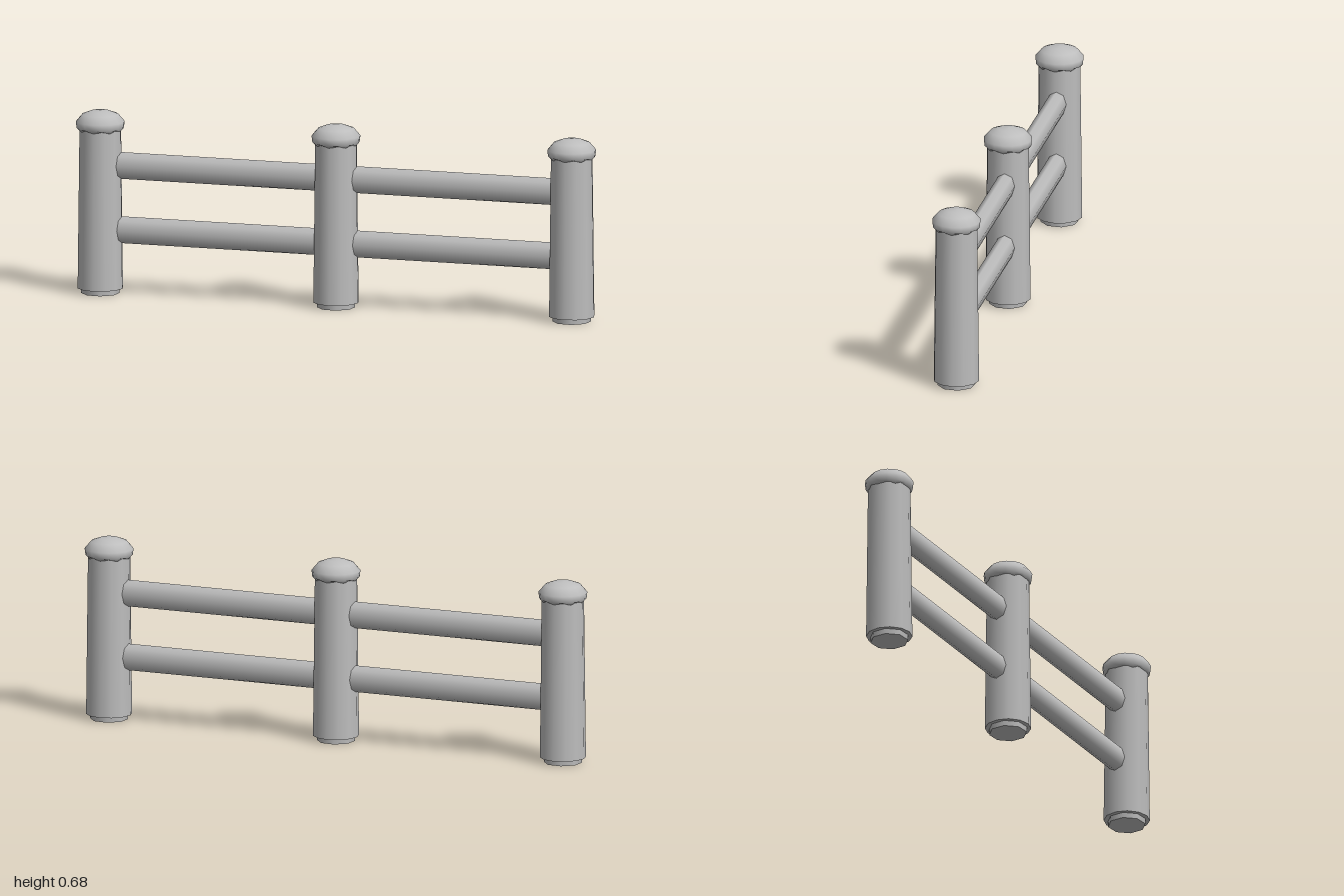
import * as THREE from 'three';

export function createModel() {
  const group = new THREE.Group();
  const grey = new THREE.MeshStandardMaterial({ color: 0xbdbdbd });
  grey.name = 'stone grey';

  const add = (parent, geometry, name, x, y, z) => {
    const mesh = new THREE.Mesh(geometry, grey);
    mesh.name = name;
    mesh.position.set(x, y, z);
    parent.add(mesh);
    return mesh;
  };

  // Rounded cap with a gently scalloped lower edge
  const profile = [
    [0, 0.614], [0.077, 0.609], [0.087, 0.617], [0.09, 0.641],
    [0.067, 0.668], [0.035, 0.68], [0, 0.683],
  ].map(([r, y]) => new THREE.Vector2(r, y));
  const sides = 16;
  const capGeo = new THREE.LatheGeometry(profile, sides);
  const pos = capGeo.attributes.position;
  for (let s = 0; s <= sides; s++) {
    const i = s * profile.length + 1;
    pos.setY(i, s % 2 ? 0.613 : 0.606);
  }
  capGeo.computeBoundingSphere();

  // Tapered shaft and the smaller foot below it
  const shaftGeo = new THREE.CylinderGeometry(0.078, 0.085, 0.6, 12);
  const footGeo = new THREE.CylinderGeometry(0.072, 0.07, 0.04, 8);

  for (const [side, x] of [['right', -0.91], ['middle', 0], ['left', 0.91]]) {
    const post = new THREE.Group();
    post.name = side + 'Post';
    post.position.x = x;
    add(post, footGeo, 'foot', 0, 0.02, 0).rotation.y = 0.3;
    add(post, shaftGeo, 'shaft', 0, 0.32, 0);
    add(post, capGeo, 'cap', 0, 0, 0);
    group.add(post);
  }

  // Two oval rails between each pair of posts
  const railGeo = new THREE.CylinderGeometry(1, 1, 0.8, 8);
  railGeo.rotateZ(Math.PI / 2);
  railGeo.scale(1, 0.05, 0.036);
  for (const x of [-0.455, 0.455]) {
    for (const [level, y] of [['lower', 0.24], ['upper', 0.48]]) {
      add(group, railGeo, level + (x < 0 ? 'Right' : 'Left') + 'Rail', x, y, -0.004);
    }
  }
  return group;
}
